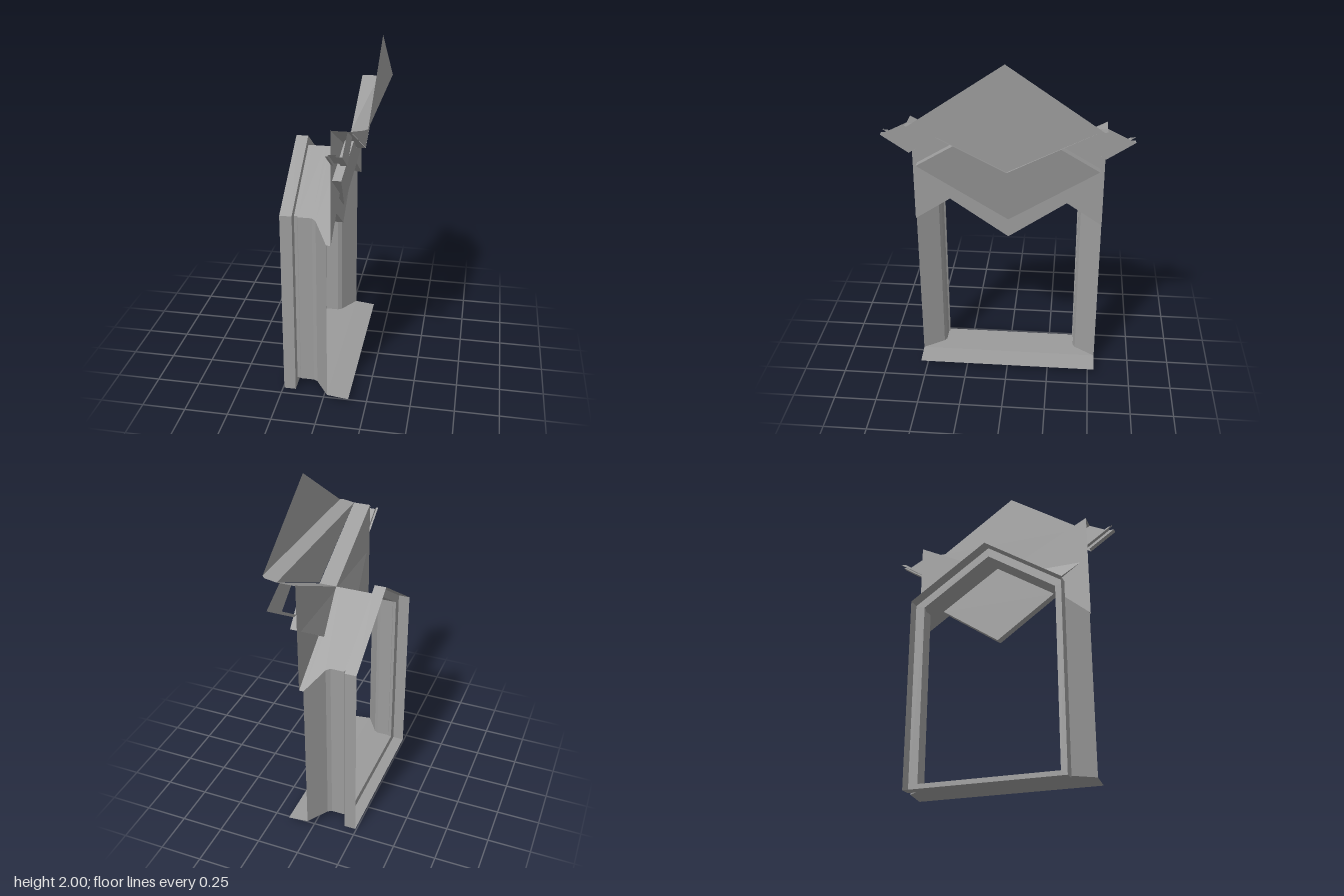
import * as THREE from 'three';

const PITCH = 2 / 3, RIDGE = 1.355, SILL = 0.045, WALL_X = 0.053, CREST_X = 0.155;
const gableY = z => RIDGE - PITCH * Math.abs(z);

export function createModel() {
  const model = new THREE.Group();
  const material = new THREE.MeshStandardMaterial({ color: 0x9b9b9b, flatShading: true, side: THREE.DoubleSide });

  function add(name, geometry) {
    const mesh = new THREE.Mesh(geometry, material);
    mesh.name = name;
    model.add(mesh);
    return mesh;
  }

  // Solid: outline of [z, y] points extruded along x from x0 to x1
  function slab(name, outline, x0, x1) {
    const shape = new THREE.Shape(outline.map(([z, y]) => new THREE.Vector2(-z, y)));
    const geometry = new THREE.ExtrudeGeometry(shape, { depth: x1 - x0, bevelEnabled: false });
    return add(name, geometry.rotateY(Math.PI / 2).translate(x0, 0, 0));
  }

  // Open sheet between two rows of [x, y, z] points
  function sheet(name, rowA, rowB) {
    const index = [];
    const n = rowA.length;
    for (let i = 0; i < n - 1; i++) index.push(i, i + 1, n + i, i + 1, n + i + 1, n + i);
    const geometry = new THREE.BufferGeometry();
    geometry.setAttribute('position', new THREE.Float32BufferAttribute([...rowA, ...rowB].flat(), 3));
    geometry.setIndex(index);
    geometry.computeVertexNormals();
    return add(name, geometry);
  }

  // Sheet spanning from a row of points to its mirror image in z
  const span = (name, row) => sheet(name, row, row.map(([x, y, z]) => [x, y, -z]));

  // Closed house-shaped ring of points at a given x
  const ring = (x, w, bottom, ridge) => {
    const eave = ridge - PITCH * w;
    return [[x, bottom, -w], [x, bottom, w], [x, eave, w], [x, ridge, 0], [x, eave, -w], [x, bottom, -w]];
  };

  // Rear flange: an open rim and the flat web joining it to the reveal
  const rimFront = ring(-0.175, 0.452, 0, 1.41);
  sheet('flangeRim', ring(-0.243, 0.452, 0, 1.41), rimFront);
  sheet('flangeWeb', rimFront, ring(-0.175, 0.398, SILL, RIDGE));

  // Casing profile in [x, z]: neck, straight reveal, flare
  const profile = [[-0.175, 0.398], [-0.158, 0.398], [-0.153, 0.405], [-0.075, 0.405], [-0.052, 0.418], [0.028, 0.538]];
  const roofProfile = [...profile, [WALL_X, 0.538]];

  // Wing floor section in [x, inset], with a recessed middle strip
  const wingSection = [[0.055, 0], [0.066, 0], [0.066, 0.027], [0.105, 0.027], [0.105, 0], [0.14, 0]];

  for (const side of [1, -1]) {
    const label = side > 0 ? 'front' : 'rear';
    sheet(label + 'Jamb',
      profile.map(([x, z]) => [x, SILL, side * z]),
      profile.map(([x, z]) => [x, gableY(z), side * z]));
    sheet(label + 'GableSlope',
      roofProfile.map(([x]) => [x, RIDGE, 0]),
      roofProfile.map(([x, z]) => [x, gableY(z), side * z]));

    // Upright wall above the gable slope
    sheet(label + 'GableWall',
      [[WALL_X, RIDGE, 0], [WALL_X, RIDGE, 0]],
      [[WALL_X, gableY(0.538), side * 0.538], [WALL_X, 1.635, side * 0.538]]);

    // Valley joining the wall to the crest
    sheet(label + 'Valley',
      [[WALL_X, RIDGE, 0], [CREST_X, RIDGE, 0]],
      [[WALL_X, 1.632, side * 0.538], [CREST_X, 1.632, side * 0.538]]);

    // Eave wing: rising floor and one outer cheek, open above
    sheet(label + 'WingFloor',
      wingSection.map(([x, inset]) => [x, 1.45, side * (0.538 - inset)]),
      wingSection.map(([x, inset]) => [x, 1.553, side * (0.692 - inset)]));
    sheet(label + 'WingCheek',
      [[0.14, 1.63, side * 0.538], [0.14, 1.553, side * 0.692]],
      [[0.14, 1.555, side * 0.395], [0.14, 1.45, side * 0.538]]);
  }

  // Sill, widening with the jambs and falling to its front edge
  span('sill', [...profile.map(([x, z]) => [x, SILL, z]), [0.15, 0.031, 0.538]]);

  // Crest: lower triangle, shelf and upper triangle
  span('crestLower', [[CREST_X, 1.36, 0], [CREST_X, 1.632, 0.538]]);
  span('crestShelf', [[CREST_X, 1.632, 0.538], [0.222, 1.643, 0.538], [0.24, 1.646, 0.522]]);
  span('crestUpper', [[0.24, 1.646, 0.522], [0.24, 2, 0]]);

  // Thick diamond panel, leaning forward with height and cut under the crest
  const diamond = slab('diamondPanel',
    [[0, 1], [0.512, 1.355], [0.29, 1.498], [0, 1.35], [-0.29, 1.498], [-0.512, 1.355]], -0.015, 0.033);
  const position = diamond.geometry.attributes.position;
  for (let i = 0; i < position.count; i++) {
    position.setX(i, position.getX(i) + 0.2 * (position.getY(i) - 1));
  }
  diamond.geometry.computeVertexNormals();

  // Pendant panel hanging below the gable
  const pendantEdge = gableY(0.345);
  slab('pendantPanel', [[0, 0.885], [0.345, pendantEdge], [0, RIDGE - 0.002], [-0.345, pendantEdge]], -0.02, 0.028);

  return model;
}
